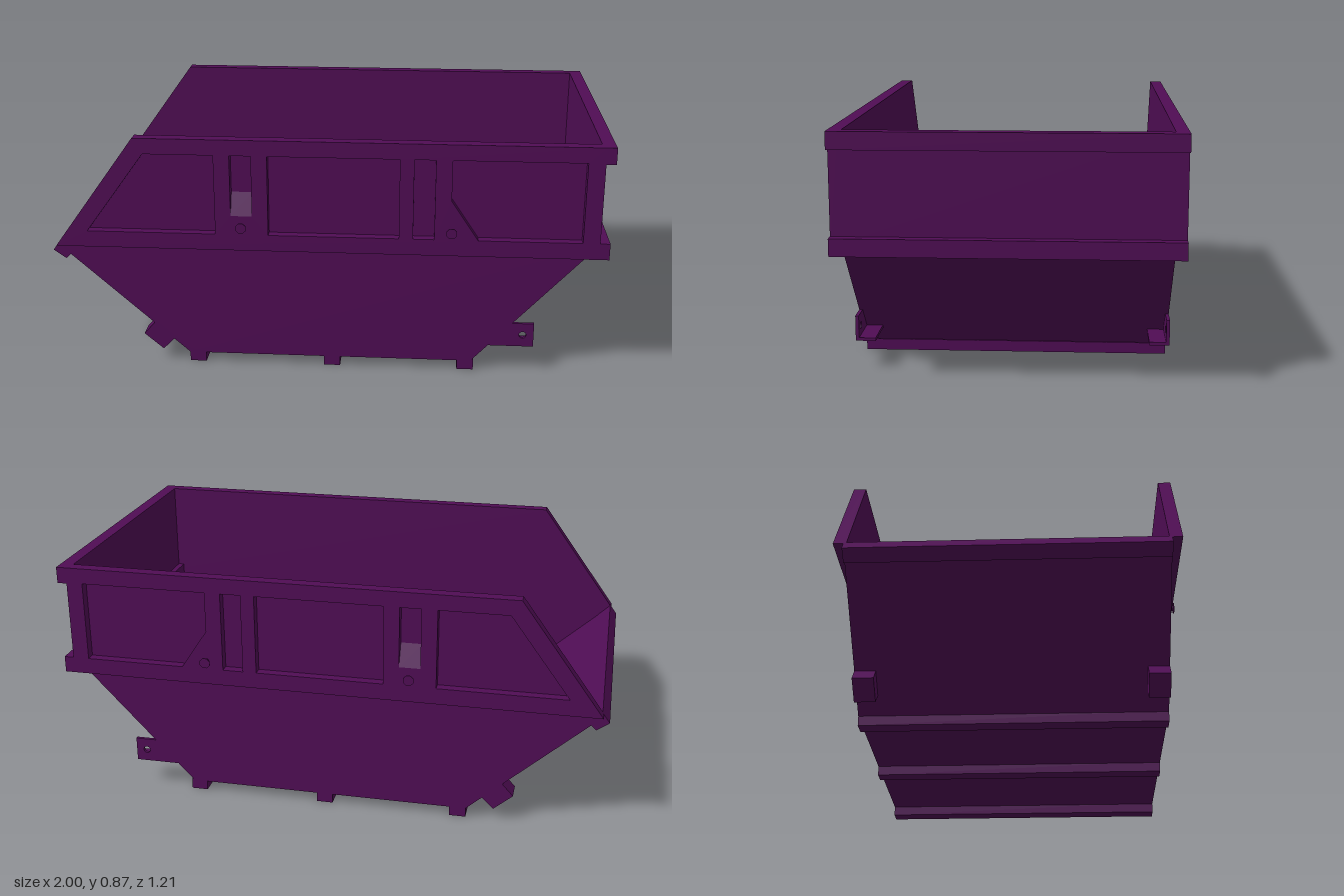
import * as THREE from 'three';

const material = new THREE.MeshStandardMaterial({ color: 0x500d55, side: THREE.DoubleSide });
const vectors = (pts) => pts.map(([x, y]) => new THREE.Vector2(x, y));
const rect = (x0, x1, y0, y1) => [[x0, y0], [x1, y0], [x1, y1], [x0, y1]];

export function createModel() {
  const model = new THREE.Group();

  const add = (name, geometry) => {
    const mesh = new THREE.Mesh(geometry, material);
    mesh.name = name;
    model.add(mesh);
    return mesh;
  };

  // Extrudes an x-y outline between two z positions, with optional holes
  const slab = (name, outline, za, zb, holes = []) => {
    const shape = new THREE.Shape(vectors(outline));
    for (const h of holes) shape.holes.push(h instanceof THREE.Path ? h : new THREE.Path(vectors(h)));
    const geometry = new THREE.ExtrudeGeometry(shape, {
      depth: Math.abs(zb - za), bevelEnabled: false, curveSegments: 8,
    });
    geometry.translate(0, 0, Math.min(za, zb));
    return add(name, geometry);
  };

  const inner = 0.545, outer = 0.58;

  // Bent sheet: sloped end, floor, sloped end and upright end wall
  slab('floorAndEnds', [
    [-0.965, 0.44], [-0.51, 0.035], [0.53, 0.035], [0.965, 0.497], [0.965, 0.87],
    [0.953, 0.87], [0.953, 0.502], [0.525, 0.047], [-0.505, 0.047], [-0.957, 0.449],
  ], -inner, inner);

  // Lip along the low loading edge
  slab('loadingLip', [[-1, 0.43], [-0.955, 0.398], [-0.928, 0.425], [-0.973, 0.467]], -inner, inner);

  // Rails across the upright end
  slab('endTopRail', rect(0.965, 1, 0.81, 0.87), -outer, outer);
  slab('endLowerRail', rect(0.93, 1, 0.46, 0.52), -outer, outer);

  // Skids under the floor
  for (const x of [-0.48, 0.02, 0.51]) {
    slab('skid', rect(x - 0.03, x + 0.03, 0, 0.04), -inner, inner);
  }

  const panels = [
    [[-0.86, 0.52], [-0.395, 0.52], [-0.395, 0.813], [-0.645, 0.813]],
    rect(-0.338, -0.262, 0.59, 0.813),
    rect(-0.205, 0.26, 0.52, 0.813),
    rect(0.31, 0.385, 0.52, 0.813),
    [[0.54, 0.52], [0.905, 0.52], [0.905, 0.813], [0.443, 0.813], [0.443, 0.665]],
  ];

  for (const s of [1, -1]) {
    // Flat side plate
    slab('sidePlate', [
      [-0.51, 0.035], [0.53, 0.035], [0.965, 0.497], [0.965, 0.87], [-0.68, 0.87], [-0.978, 0.46],
    ], s * (inner - 0.01), s * inner);

    // Raised side frame with recessed panels
    slab('sideFrame', [[-0.978, 0.46], [0.965, 0.46], [0.965, 0.87], [-0.68, 0.87]],
      s * inner, s * outer, panels);

    // Sloped filler at the foot of the narrow slot
    const ramp = new THREE.PlaneGeometry(0.076, 1);
    const p = ramp.attributes.position;
    for (let i = 0; i < p.count; i++) {
      const top = p.getY(i) > 0;
      p.setXYZ(i, -0.3 + s * p.getX(i), top ? 0.67 : 0.59, s * (top ? inner : outer));
    }
    ramp.computeVertexNormals();
    add('slotRamp', ramp);

    // Lifting pins with end caps
    for (const x of [-0.3, 0.445]) {
      const pin = add('liftingPin', new THREE.CylinderGeometry(0.009, 0.009, 0.03, 12));
      pin.rotation.x = Math.PI / 2;
      pin.position.set(x, 0.552, s * 0.59);
      const cap = add('pinCap', new THREE.CylinderGeometry(0.02, 0.02, 0.004, 8));
      cap.rotation.set(Math.PI / 2, Math.PI / 8, 0);
      cap.position.set(x, 0.552, s * 0.603);
    }

    // Stub feet under the low end
    slab('stubFoot', [[-0.68, 0.105], [-0.61, 0.045], [-0.565, 0.09], [-0.635, 0.155]], s * 0.47, s * inner);

    // Drilled lug with its base plate
    const hole = new THREE.Path().absarc(0.715, 0.145, 0.013, 0, Math.PI * 2, true);
    slab('lug', [[0.59, 0.1], [0.755, 0.1], [0.755, 0.19], [0.675, 0.19]], s * 0.533, s * inner, [hole]);
    slab('lugBase', rect(0.59, 0.755, 0.1, 0.111), s * 0.475, s * inner);
  }

  return model;
}
